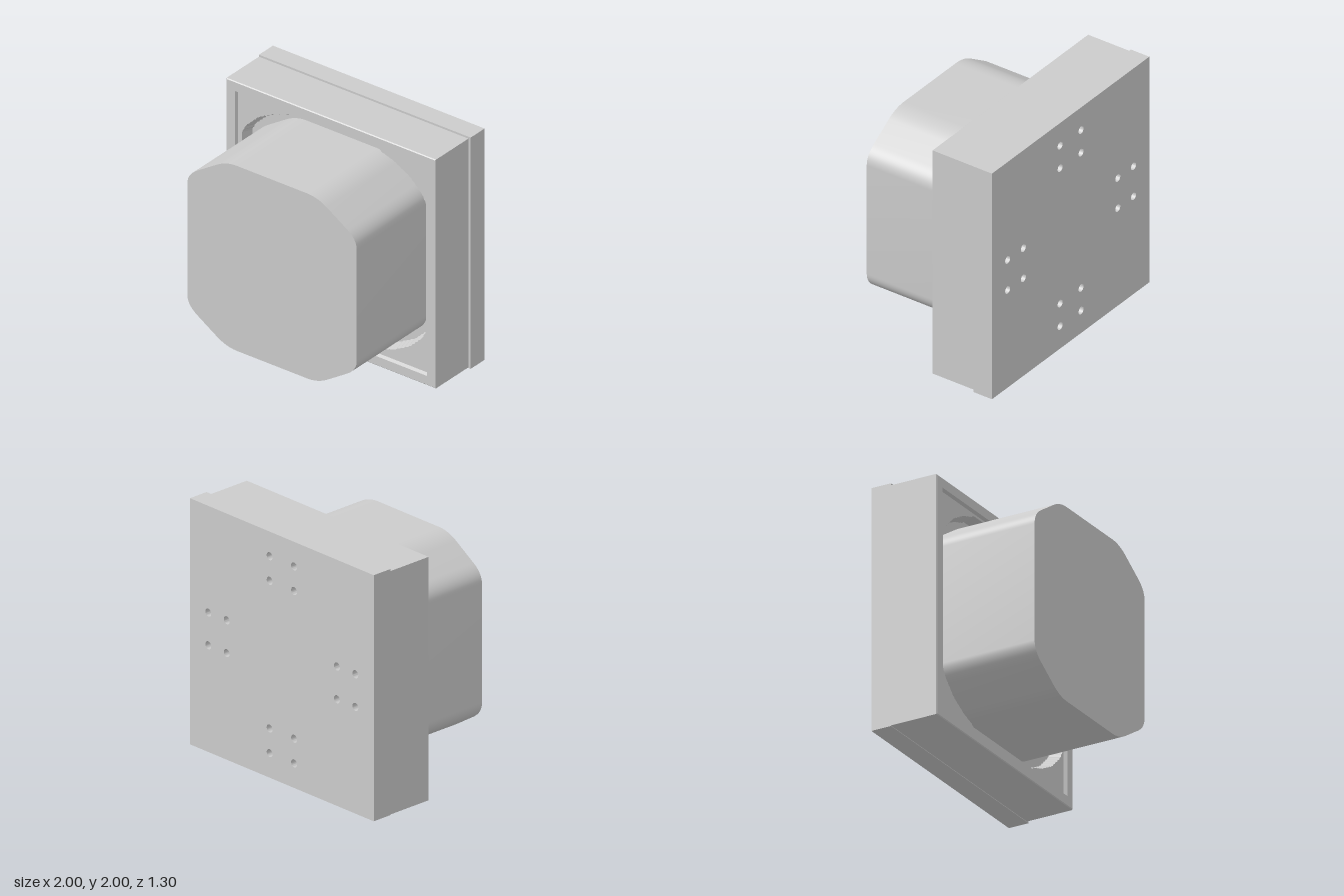
import * as THREE from 'three';
import { toCreasedNormals } from 'three/addons/utils/BufferGeometryUtils.js';

const material = new THREE.MeshStandardMaterial({ color: 0xcccccc });
const V = (x, y) => new THREE.Vector2(x, y);

function add(parent, name, geometry) {
  const mesh = new THREE.Mesh(geometry, material);
  mesh.name = name;
  parent.add(mesh);
  return mesh;
}

// Mirrors a first-quadrant path (right side to top) into a closed loop round (0, 1)
function mirrorLoop(quarter) {
  const loop = [];
  for (const [sx, sy] of [[1, 1], [-1, 1], [-1, -1], [1, -1]]) {
    const path = sx * sy > 0 ? quarter : [...quarter].reverse();
    for (const p of path) loop.push(V(p.x * sx, 1 + p.y * sy));
  }
  return loop;
}

const rect = (x0, x1, y0, y1, inset = 0) => [
  V(x0 + inset, y0 + inset), V(x1 - inset, y0 + inset),
  V(x1 - inset, y1 - inset), V(x0 + inset, y1 - inset),
];

// Band of flat quads between two matching loops
function band(a, za, b, zb) {
  const pos = [];
  a.forEach((p, i) => {
    const j = (i + 1) % a.length;
    const A = [p.x, p.y, za], B = [a[j].x, a[j].y, za];
    const C = [b[j].x, b[j].y, zb], D = [b[i].x, b[i].y, zb];
    pos.push(...A, ...B, ...C, ...A, ...C, ...D);
  });
  const g = new THREE.BufferGeometry();
  g.setAttribute('position', new THREE.Float32BufferAttribute(pos, 3));
  g.computeVertexNormals();
  return g;
}

// Flat front-facing face, optionally with an opening
function face(outer, hole, z) {
  const shape = new THREE.Shape(outer);
  if (hole) shape.holes.push(new THREE.Path(hole));
  return new THREE.ShapeGeometry(shape).translate(0, 0, z);
}

// Stepped corner outline of the recess around the plug
function recessLoop(scale) {
  const keys = [V(0.868, 0.55), V(0.83, 0.62), V(0.71, 0.735), V(0.56, 0.815), V(0.45, 0.85), V(0.42, 0.87)];
  const quarter = [keys[0]];
  for (let k = 1; k < keys.length; k++) {
    const from = keys[k - 1], to = keys[k];
    const steps = Math.max(1, Math.round(from.distanceTo(to) / 0.045));
    for (let s = 0; s < steps; s++) {
      const p = from.clone().lerp(to, s / steps), q = from.clone().lerp(to, (s + 1) / steps);
      quarter.push(V(p.x + (q.x - p.x) * 0.35, p.y + (q.y - p.y) * 0.65), q);
    }
  }
  return mirrorLoop(quarter.map((p) => p.clone().multiplyScalar(scale)));
}

export function createModel() {
  const group = new THREE.Group();

  // Back plate with four clusters of bolt holes
  const plate = new THREE.Shape(rect(-1, 1, 0, 2));
  for (let k = 0; k < 4; k++) {
    for (const radial of [0.6, 0.8]) {
      for (const side of [-0.133, 0.133]) {
        const c = V(radial, side).rotateAround(V(0, 0), (k * Math.PI) / 2);
        plate.holes.push(new THREE.Path().absarc(c.x, c.y + 1, 0.032, 0, Math.PI * 2, true));
      }
    }
  }
  const plateGeometry = new THREE.ExtrudeGeometry(plate, { depth: 0.17, bevelEnabled: false, curveSegments: 20 });
  add(group, 'backPlate', toCreasedNormals(plateGeometry, 0.6)).position.z = -0.65;

  // Housing block: outer walls, fine chamfer, recessed panel and stepped opening
  const housing = new THREE.Group();
  housing.name = 'housing';
  group.add(housing);
  const outline = (inset) => rect(-1, 0.978, 0.005, 1.983, inset);
  const back = -0.48, front = -0.08, panelZ = -0.105, floorZ = -0.2;
  const opening = recessLoop(1), floor = recessLoop(0.975);
  add(housing, 'housingBack', face(outline(0), null, -back).rotateY(Math.PI).scale(1, 1, 1).translate(-0.022, 0, 0));
  add(housing, 'housingWalls', band(outline(0), back, outline(0), front - 0.007));
  add(housing, 'frontChamfer', band(outline(0), front - 0.007, outline(0.007), front));
  add(housing, 'frontFrame', face(outline(0.007), outline(0.082), front));
  add(housing, 'panelStep', band(outline(0.082), front, outline(0.095), panelZ));
  add(housing, 'frontPanel', face(outline(0.095), opening, panelZ));
  add(housing, 'openingWalls', band(opening, panelZ, floor, floorZ));
  add(housing, 'openingFloor', face(floor, null, floorZ));

  // Plug with softened, cut corners
  const corner = [
    ...new THREE.QuadraticBezierCurve(V(0.8, 0.48), V(0.8, 0.566), V(0.705, 0.626)).getPoints(10),
    ...new THREE.QuadraticBezierCurve(V(0.52, 0.744), V(0.43, 0.8), V(0.33, 0.8)).getPoints(10),
  ];
  const plugGeometry = new THREE.ExtrudeGeometry(new THREE.Shape(mirrorLoop(corner)), {
    depth: 0.85, bevelEnabled: false,
  });
  add(group, 'plug', toCreasedNormals(plugGeometry, 0.6)).position.z = floorZ;

  return group;
}
